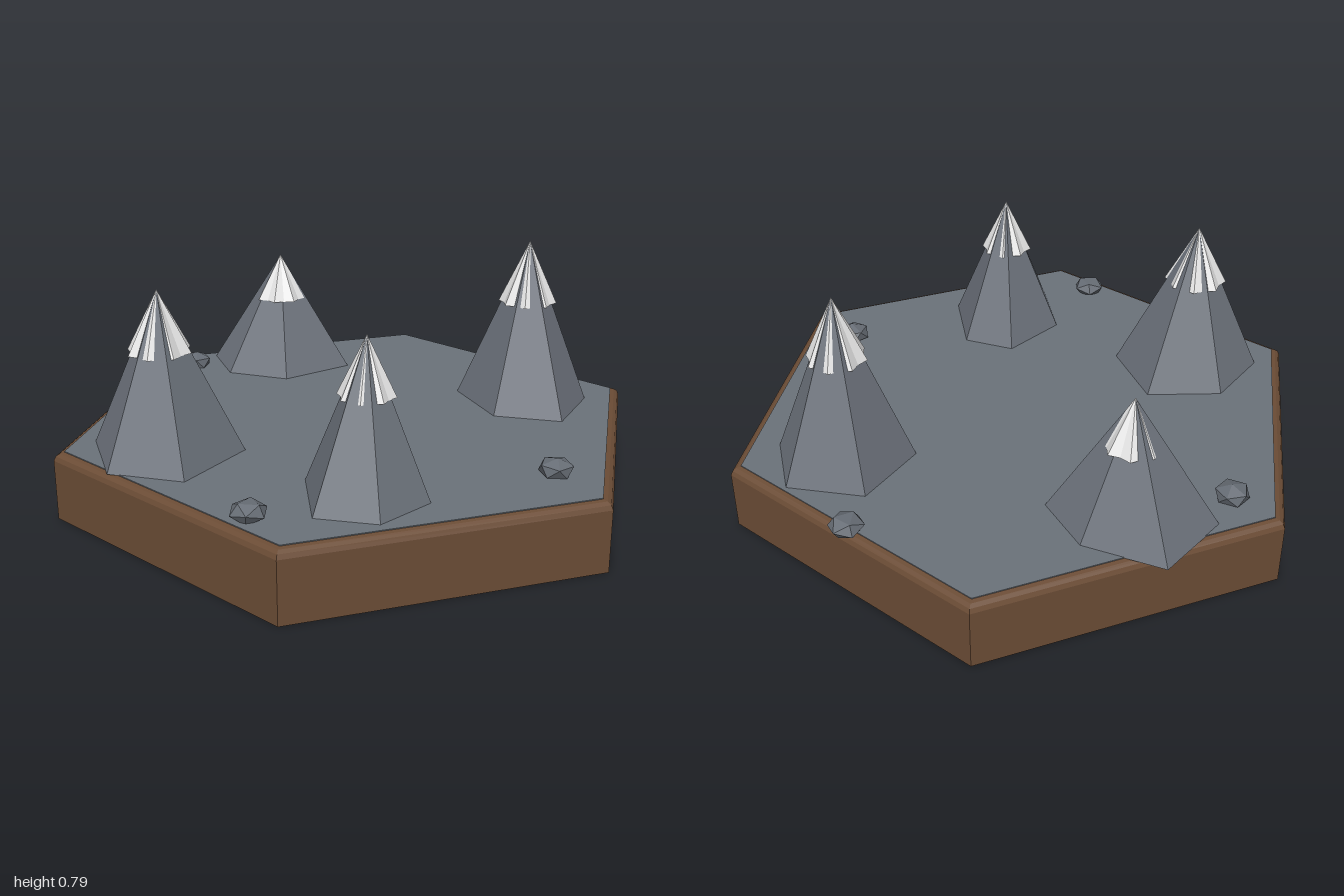
import * as THREE from 'three';

const flat = (geometry) => {
  const g = geometry.index ? geometry.toNonIndexed() : geometry;
  g.computeVertexNormals();
  return g;
};

// Closed pyramid from a clockwise outline of [x, z] offsets around its apex
function pyramid(outline, baseY, apexY) {
  const v = [];
  outline.forEach(([x, z], i) => {
    const [nx, nz] = outline[(i + 1) % outline.length];
    v.push(x, baseY, z, 0, apexY, 0, nx, baseY, nz);
    v.push(x, baseY, z, nx, baseY, nz, 0, baseY, 0);
  });
  const g = new THREE.BufferGeometry();
  g.setAttribute('position', new THREE.Float32BufferAttribute(v, 3));
  return flat(g);
}

export function createModel() {
  const paint = (name, color) => {
    const m = new THREE.MeshStandardMaterial({ color });
    m.name = name;
    return m;
  };
  const earth = paint('earth brown', 0x6b4c35);
  const ground = paint('ground grey', 0x6b727a);
  const stone = paint('mountain grey', 0x6c727b);
  const snow = paint('snow white', 0xe8e8e8);
  const boulderGrey = paint('boulder grey', 0x666c74);

  const model = new THREE.Group();
  model.name = 'mountainTile';
  const add = (parent, name, geometry, material) => {
    const mesh = new THREE.Mesh(geometry, material);
    mesh.name = name;
    parent.add(mesh);
    return mesh;
  };

  // Hexagonal base with a rounded upper edge
  const profile = [[0, 0], [1, 0], [1, 0.2], [0.993, 0.214], [0.98, 0.222], [0.965, 0.225], [0, 0.225]];
  const base = new THREE.LatheGeometry(profile.map(([r, y]) => new THREE.Vector2(r, y)), 6);
  add(model, 'hexBase', flat(base), earth);

  // Thin stone ground
  const slab = add(model, 'ground', flat(new THREE.CylinderGeometry(0.965, 0.965, 0.006, 6)), ground);
  slab.position.y = 0.225;

  // Mountains: apex x, z, height and the irregular foot around the apex
  const baseY = 0.226;
  const mountains = [
    { x: -0.54, z: 0.38, top: 0.745,
      foot: [[0.13, -0.265], [0.26, -0.03], [0.155, 0.25], [-0.095, 0.24], [-0.235, 0], [-0.12, -0.22]] },
    { x: -0.4, z: -0.53, top: 0.645,
      foot: [[-0.13, -0.235], [0.13, -0.17], [0.257, 0], [0.07, 0.2], [-0.155, 0.175], [-0.27, -0.01]] },
    { x: 0.535, z: -0.34, top: 0.785,
      foot: [[-0.13, -0.235], [0.125, -0.23], [0.215, -0.015], [0.15, 0.235], [-0.08, 0.23], [-0.235, 0.005]] },
    { x: 0.155, z: 0.57, top: 0.705,
      foot: [[-0.055, -0.23], [0.12, -0.195], [0.2, 0.05], [0.085, 0.22], [-0.11, 0.22], [-0.195, -0.035]] },
  ];
  mountains.forEach(({ x, z, top, foot }) => {
    const mountain = new THREE.Group();
    mountain.name = 'mountain';
    mountain.position.set(x, 0, z);
    model.add(mountain);
    add(mountain, 'rockCone', pyramid(foot, baseY, top), stone);

    // Fluted snow cap that breaks through the rock faces
    const radius = foot.reduce((s, p) => s + Math.hypot(...p), 0) / foot.length;
    const rim = Array.from({ length: 16 }, (_, i) => {
      const a = (i / 16) * Math.PI * 2;
      const r = radius * 0.38 * (i % 2 ? 0.88 : 1.04);
      return [Math.sin(a) * r, -Math.cos(a) * r];
    });
    add(mountain, 'snowCap', pyramid(rim, top - (top - baseY) * 0.38, top + 0.001), snow);
  });

  // Flattened boulders: x, z and turn
  [[0.42, -0.735, 0.3], [-0.705, -0.41, 1.1], [0.69, 0.335, 2], [-0.13, 0.82, 2.7]].forEach(([x, z, turn]) => {
    const g = new THREE.IcosahedronGeometry(0.058, 0);
    g.rotateX(turn).rotateY(turn * 2).scale(1, 0.6, 1);
    add(model, 'boulder', flat(g), boulderGrey).position.set(x, 0.247, z);
  });

  return model;
}
